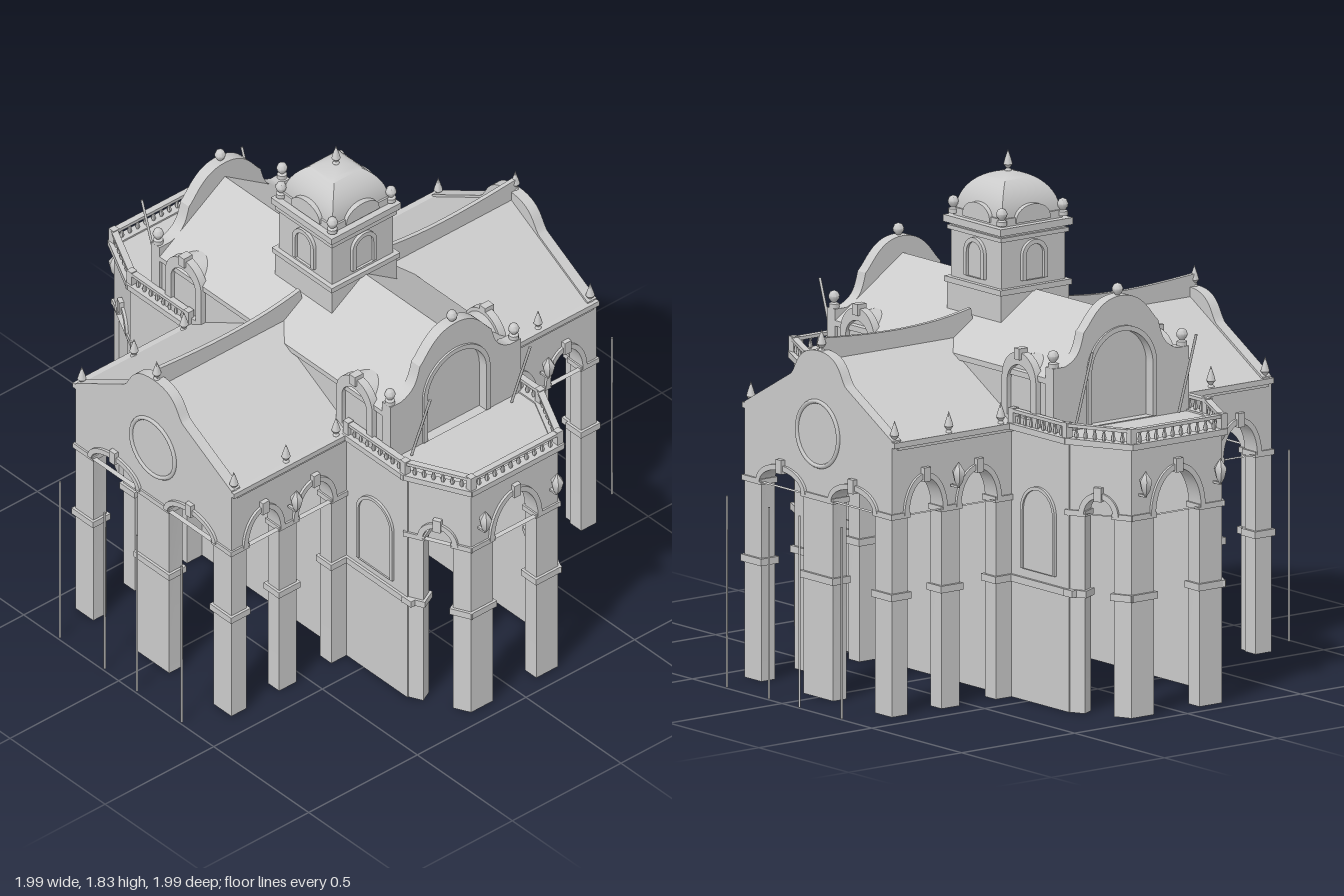
import * as THREE from 'three';
import { toCreasedNormals } from 'three/addons/utils/BufferGeometryUtils.js';

const stone = new THREE.MeshStandardMaterial({ color: 0xcccccc, side: THREE.DoubleSide });
const SIGNS = [-1, 1];
const V2 = (x, y) => new THREE.Vector2(x, y);

function add(parent, name, geo, x = 0, y = 0, z = 0, ry = 0) {
  const m = new THREE.Mesh(geo, stone);
  m.name = name;
  m.position.set(x, y, z);
  m.rotation.y = ry;
  parent.add(m);
  return m;
}
const box = (p, name, w, h, d, x, y, z, ry) => add(p, name, new THREE.BoxGeometry(w, h, d), x, y, z, ry);

// extrusion whose front face lies on z = 0
function plate(shape, depth) {
  const g = new THREE.ExtrudeGeometry(shape, { depth, bevelEnabled: false, curveSegments: 14 });
  return toCreasedNormals(g.translate(0, 0, -depth), 0.5);
}
const lathe = (pts, n = 10) => toCreasedNormals(new THREE.LatheGeometry(pts.map(p => V2(...p)), n), 0.8);

// outline of an arched opening
function archShape(hw, bottom, spring, ry, path = new THREE.Shape()) {
  path.moveTo(hw, bottom);
  path.lineTo(hw, spring);
  path.absellipse(0, spring, hw, ry, 0, Math.PI, false);
  path.lineTo(-hw, bottom);
  path.closePath();
  return path;
}

// raised moulding around an arch
function archBand(hw, spring, ry, w, foot = 0) {
  const s = archShape(hw + w, spring - foot, spring, ry + w);
  s.holes.push(archShape(hw, spring - foot, spring, ry, new THREE.Path()));
  return plate(s, 0.02);
}

// wall on piers, arches given as [centre, half width, rise]; spring line at 0.71
function arcade(parent, name, length, height, arches, depth, x, z, ry) {
  const g = new THREE.Group();
  g.name = name;
  g.position.set(x, 0, z);
  g.rotation.y = ry;
  parent.add(g);
  const spring = 0.71, L = length / 2, s = new THREE.Shape();
  const list = [...arches].sort((a, b) => a[0] - b[0]);
  s.moveTo(-L, 0);
  let edge = -L;
  const pier = end => {
    const w = end - edge, c = (end + edge) / 2;
    box(g, 'pierCollar', w + 0.02, 0.025, depth + 0.02, c, 0.425, -depth / 2);
    box(g, 'pierImpost', w + 0.014, 0.02, depth + 0.014, c, 0.71, -depth / 2);
  };
  for (const [c, hw, rise] of list) {
    pier(c - hw);
    s.lineTo(c - hw, 0);
    s.lineTo(c - hw, spring);
    s.absellipse(c, spring, hw, rise, Math.PI, 0, true);
    s.lineTo(c + hw, 0);
    edge = c + hw;
    add(g, 'archMoulding', archBand(hw, spring, rise, 0.02), c, 0, 0.01);
    box(g, 'keystone', 0.03, 0.05, 0.035, c, spring + rise + 0.015, 0);
  }
  pier(L);
  s.lineTo(L, 0);
  s.lineTo(L, height);
  s.lineTo(-L, height);
  s.closePath();
  add(g, 'arcadeWall', plate(s, depth));
  return g;
}

// gabled roof slab running along z
function roof(half, eave, ridge, length) {
  const t = 0.02, s = new THREE.Shape([V2(-half, eave), V2(-half, eave - t), V2(0, ridge - t),
    V2(half, eave - t), V2(half, eave), V2(0, ridge)]);
  return plate(s, length);
}

const finialGeo = lathe([[0.012, 0], [0.012, 0.012], [0.006, 0.018], [0.016, 0.032], [0.012, 0.048], [0, 0.085]]);
const ballGeo = lathe([[0.018, 0], [0.018, 0.015], [0.009, 0.02], [0.018, 0.032], [0.02, 0.042], [0.014, 0.056], [0, 0.062]]);
const lampGeo = lathe([[0, -0.045], [0.01, -0.03], [0.016, -0.02], [0.024, 0.015], [0.014, 0.03], [0, 0.05]], 6);

function lamp(p, x, z, sx) {
  add(p, 'wallLamp', lampGeo, x, 0.83, z);
  box(p, 'lampBracket', 0.04, 0.008, 0.01, x - sx * 0.02, 0.79, z);
}

// rail with balusters between two ground points
function balustrade(p, x0, z0, x1, z1) {
  const len = Math.hypot(x1 - x0, z1 - z0), ry = -Math.atan2(z1 - z0, x1 - x0);
  const mx = (x0 + x1) / 2, mz = (z0 + z1) / 2;
  box(p, 'handRail', len + 0.01, 0.012, 0.024, mx, 1.02, mz, ry);
  box(p, 'porchCornice', len + 0.02, 0.022, 0.04, mx, 0.965, mz, ry);
  const n = Math.max(2, Math.round(len / 0.035));
  const geo = lathe([[0.005, 0], [0.009, 0.012], [0.004, 0.03], [0.007, 0.04]], 6);
  for (let i = 0; i <= n; i++) {
    const t = i / n, x = x0 + (x1 - x0) * t, z = z0 + (z1 - z0) * t;
    if (i % n) add(p, 'baluster', geo, x, 0.975, z);
    else box(p, 'railPost', 0.026, 0.055, 0.026, x, 1.002, z);
  }
}

// front or back wing, built facing +z
function wing(sz) {
  const g = new THREE.Group();
  g.name = sz > 0 ? 'frontWing' : 'backWing';
  g.rotation.y = sz > 0 ? 0 : Math.PI;
  arcade(g, 'facade', 0.82, 0.97, [[-0.2, 0.117, 0.06], [0.2, 0.117, 0.06]], 0.06, 0, 0.84, 0);
  const s = new THREE.Shape();
  s.moveTo(-0.41, 0.96);
  s.lineTo(-0.41, 0.98);
  s.lineTo(-0.16, 1.12);
  s.bezierCurveTo(-0.12, 1.14, -0.13, 1.23, 0, 1.23);
  s.bezierCurveTo(0.13, 1.23, 0.12, 1.14, 0.16, 1.12);
  s.lineTo(0.41, 0.98);
  s.lineTo(0.41, 0.96);
  add(g, 'gable', plate(s, 0.04), 0, 0, 0.84);
  add(g, 'roundWindowFrame', new THREE.TorusGeometry(0.115, 0.008, 6, 32), 0, 0.935, 0.842);
  add(g, 'roundWindow', new THREE.CircleGeometry(0.115, 32), 0, 0.935, 0.842);
  add(g, 'wingRoof', roof(0.42, 0.965, 1.2, 0.67), 0, 0, 0.82);
  // swaying crest along the ridge
  const c = new THREE.Shape();
  c.moveTo(-0.83, 1.18);
  c.lineTo(-0.83, 1.275);
  c.bezierCurveTo(-0.65, 1.26, -0.4, 1.24, -0.17, 1.29);
  c.lineTo(-0.15, 1.18);
  add(g, 'ridgeCrest', plate(c, 0.016), 0.008, 0, 0, Math.PI / 2).position.x = 0.008;
  add(g, 'gableFinial', finialGeo, 0, 1.22, 0.825);
  for (const sx of SIGNS) {
    arcade(g, 'wingSide', 0.53, 0.97, [[-sx * 0.12, 0.075, 0.12], [sx * 0.115, 0.08, 0.12]], 0.06,
      sx * 0.41, 0.575, sx * Math.PI / 2);
    box(g, 'eaveMoulding', 0.03, 0.02, 0.53, sx * 0.41, 0.965, 0.575);
    for (const z of [0.35, 0.58, 0.82]) add(g, 'eaveFinial', finialGeo, sx * 0.4, 0.965, z);
    lamp(g, sx * 0.455, 0.58, sx);
    for (const x of [0.085, 0.32])
      add(g, 'standingPole', new THREE.CylinderGeometry(0.004, 0.004, 0.68, 6), sx * x, 0.34, 0.99);
    // long wall with blind window and dormer above
    const wx = sx * 0.565;
    const blind = archShape(0.083, 0.47, 0.68, 0.08);
    add(g, 'blindWindow', plate(blind, 0.02), wx, 0, 0.314);
    add(g, 'windowMoulding', archBand(0.083, 0.68, 0.08, 0.012, 0.21), wx, 0, 0.32);
    box(g, 'wallBand', 0.34, 0.025, 0.02, sx * 0.59, 0.425, 0.31);
    const d = archShape(0.095, 0.97, 1.13, 0.1);
    d.holes.push(archShape(0.065, 1.0, 1.12, 0.065, new THREE.Path()));
    add(g, 'dormerFront', plate(d, 0.03), sx * 0.45, 0, 0.31);
    add(g, 'dormerWindow', plate(archShape(0.07, 0.99, 1.12, 0.07), 0.01), sx * 0.45, 0, 0.292);
    add(g, 'dormerVault', plate(archShape(0.085, 1.1, 1.13, 0.085), 0.17), sx * 0.45, 0, 0.29);
    box(g, 'dormerKeystone', 0.03, 0.04, 0.04, sx * 0.45, 1.225, 0.3);
  }
  box(g, 'longWall', 1.46, 0.97, 0.03, 0, 0.485, 0.295);
  box(g, 'naveUpperWall', 1.22, 0.21, 0.03, 0, 1.055, 0.275);
  return g;
}

// end porch with terrace, built on the +x side
function porch(sx) {
  const g = new THREE.Group();
  g.name = sx > 0 ? 'leftPorch' : 'rightPorch';
  g.rotation.y = sx > 0 ? 0 : Math.PI;
  arcade(g, 'porchEnd', 0.4, 0.97, [[0, 0.1, 0.15]], 0.06, 0.94, 0, Math.PI / 2);
  const deck = new THREE.Shape([V2(0.41, -0.3), V2(0.72, -0.3), V2(0.93, -0.2), V2(0.93, 0.2), V2(0.72, 0.3), V2(0.41, 0.3)]);
  add(g, 'terrace', plate(deck, 0.03).rotateX(-Math.PI / 2), 0, 0.97, 0);
  balustrade(g, 0.94, -0.2, 0.94, 0.2);
  for (const sz of SIGNS) {
    arcade(g, 'porchCorner', 0.246, 0.97, [[0, 0.056, 0.06]], 0.05, 0.83, sz * 0.255, Math.atan2(0.11, sz * 0.22));
    balustrade(g, 0.72, sz * 0.31, 0.94, sz * 0.2);
    balustrade(g, 0.42, sz * 0.31, 0.72, sz * 0.31);
    lamp(g, 0.975, sz * 0.165, 1);
    const pole = add(g, 'flagPole', new THREE.CylinderGeometry(0.005, 0.005, 0.31, 6), 0.71, 1.125, sz * 0.23);
    pole.rotation.z = -0.32;
    add(g, 'endFinial', ballGeo, 0.61, 1.2, sz * 0.285);
  }
  // curved end gable of the nave
  const s = new THREE.Shape();
  s.moveTo(-0.3, 0.96);
  s.lineTo(-0.3, 1.2);
  s.lineTo(-0.25, 1.2);
  s.bezierCurveTo(-0.19, 1.22, -0.18, 1.25, -0.165, 1.31);
  s.bezierCurveTo(-0.13, 1.34, -0.1, 1.42, 0, 1.42);
  s.bezierCurveTo(0.1, 1.42, 0.13, 1.34, 0.165, 1.31);
  s.bezierCurveTo(0.18, 1.25, 0.19, 1.22, 0.25, 1.2);
  s.lineTo(0.3, 1.2);
  s.lineTo(0.3, 0.96);
  s.holes.push(archShape(0.135, 0.975, 1.16, 0.135, new THREE.Path()));
  add(g, 'endGable', plate(s, 0.045), 0.63, 0, 0, Math.PI / 2);
  add(g, 'endWindow', plate(archShape(0.14, 0.97, 1.16, 0.14), 0.01), 0.6, 0, 0, Math.PI / 2);
  add(g, 'endWindowMoulding', archBand(0.135, 1.16, 0.135, 0.018, 0.185), 0.638, 0, 0, Math.PI / 2);
  add(g, 'endGableFinial', ballGeo, 0.61, 1.4, 0);
  return g;
}

function tower() {
  const g = new THREE.Group();
  g.name = 'tower';
  box(g, 'towerBase', 0.3, 0.17, 0.3, 0, 1.285, 0);
  box(g, 'towerBaseMoulding', 0.315, 0.02, 0.315, 0, 1.365, 0);
  box(g, 'towerBody', 0.28, 0.2, 0.28, 0, 1.465, 0);
  box(g, 'towerLowerCornice', 0.3, 0.015, 0.3, 0, 1.55, 0);
  box(g, 'towerCornice', 0.32, 0.025, 0.32, 0, 1.58, 0);
  box(g, 'domeBase', 0.27, 0.03, 0.27, 0, 1.605, 0);
  for (let i = 0; i < 4; i++) {
    const side = new THREE.Group();
    side.name = 'towerSide';
    side.rotation.y = i * Math.PI / 2;
    g.add(side);
    add(side, 'towerWindowFrame', archBand(0.04, 1.48, 0.04, 0.016, 0.085), 0, 0, 0.153);
    add(side, 'towerWindow', plate(archShape(0.04, 1.395, 1.48, 0.04), 0.01), 0, 0, 0.143);
    add(side, 'domePediment', plate(archShape(0.075, 1.6, 1.61, 0.05), 0.06), 0, 0, 0.142);
    add(side, 'cornerFinial', ballGeo, 0.135, 1.6, 0.135);
  }
  // four-sided dome
  const pts = [];
  for (let i = 0; i <= 12; i++) {
    const a = i / 12 * Math.PI / 2;
    pts.push(V2(Math.max(0.001, 0.128 * Math.SQRT2 * Math.cos(a)), 1.615 + 0.14 * Math.sin(a)));
  }
  add(g, 'dome', toCreasedNormals(new THREE.LatheGeometry(pts, 4, Math.PI / 4), 0.7));
  add(g, 'domeFinial', finialGeo, 0, 1.745, 0);
  return g;
}

export function createModel() {
  const model = new THREE.Group();
  model.name = 'pavilion';
  for (const s of SIGNS) model.add(wing(s), porch(s));
  add(model, 'naveRoof', roof(0.3, 1.16, 1.36, 1.2), -0.6 + 1.2, 0, 0, Math.PI / 2);
  model.add(tower());
  return model;
}
